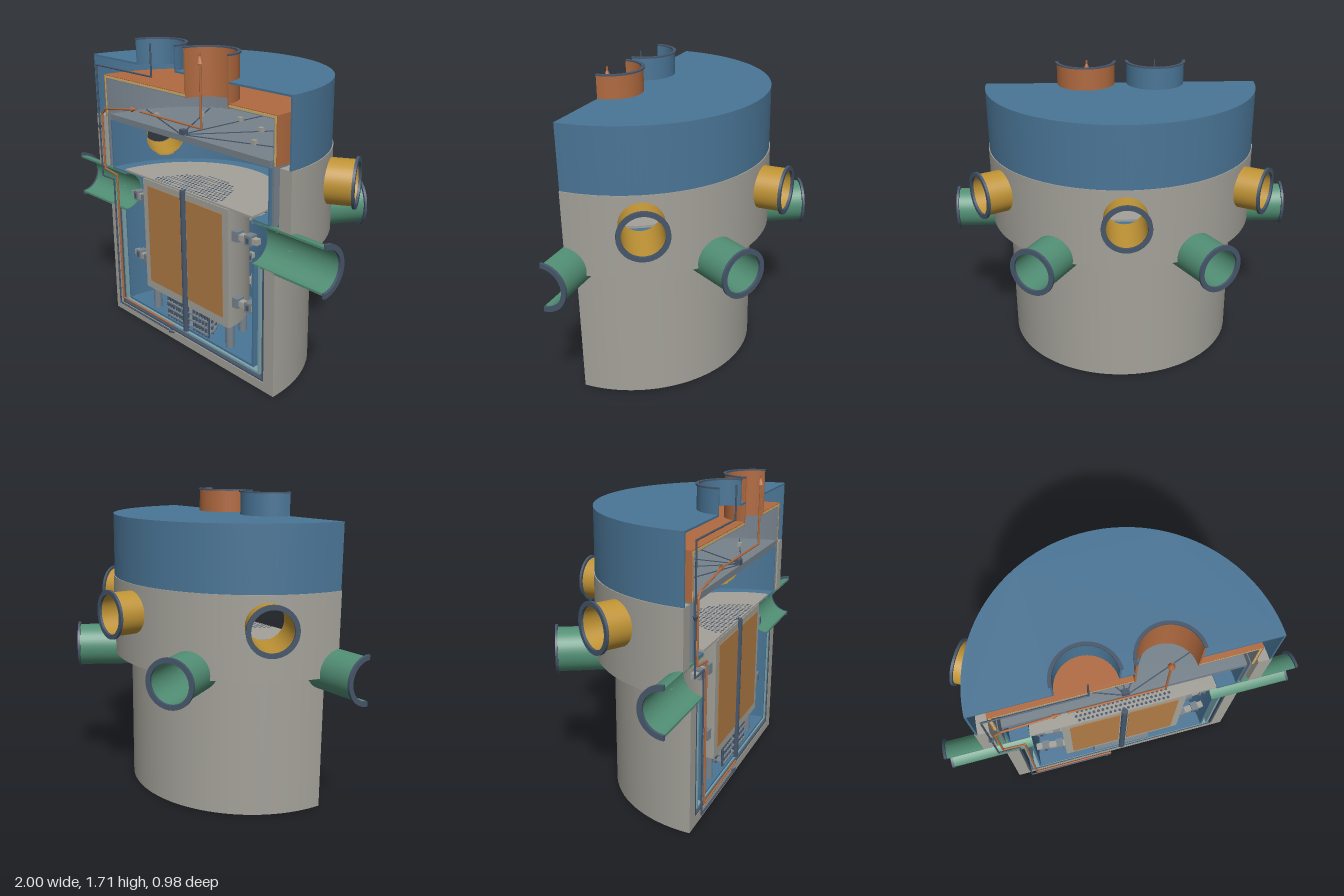
import * as THREE from 'three';
import { mergeGeometries } from 'three/addons/utils/BufferGeometryUtils.js';

const mat = (name, color) => new THREE.MeshStandardMaterial({ name, color, side: THREE.DoubleSide });
const V = (x, y, z) => new THREE.Vector3(x, y, z);
const rad = THREE.MathUtils.degToRad;

// Radial ports that pierce the walls: angle round the axis, height, hole radius
const GOLD_Y = 1.075, GREEN_Y = 0.805, HOLE = 0.112;
const PORTS = [
  ...[30, 90, 150].map(a => ({ a: rad(a), y: GOLD_Y })),
  ...[0, 60, 120, 180].map(a => ({ a: rad(a), y: GREEN_Y })),
];

export function createModel() {
  const M = {
    concrete: mat('concrete', 0xa3a199),
    blue: mat('vessel blue', 0x4a7596),
    steel: mat('steel grey', 0x77828c),
    dark: mat('dark steel', 0x46566a),
    orange: mat('hot orange', 0xb06a40),
    brown: mat('core brown', 0xb07c45),
    tan: mat('insulation tan', 0xd6b268),
    gold: mat('port gold', 0xbf9335),
    green: mat('pipe green', 0x528f75),
    teal: mat('liner teal', 0x7ba3ab),
  };
  const model = new THREE.Group();
  model.name = 'sectionedVessel';
  // Everything is built round the vessel axis; the cut plane is local z = 0
  const body = new THREE.Group();
  body.name = 'vesselHalf';
  body.position.z = 0.44;
  model.add(body);

  const add = (name, geo, material, parent = body) => {
    const m = new THREE.Mesh(geo, material);
    m.name = name;
    parent.add(m);
    return m;
  };

  // Half revolution of a right-angled closed profile (anticlockwise [r, y]), with port holes and cut faces
  const vessel = (name, p, material) => {
    const pos = [], nor = [];
    const quad = (c, n) => {
      const cross = V().subVectors(c[1], c[0]).cross(V().subVectors(c[2], c[0]));
      if (cross.lengthSq() < 1e-14) cross.subVectors(c[2], c[0]).cross(V().subVectors(c[3], c[0]));
      const order = cross.dot(n[0]) < 0 ? [0, 2, 1, 0, 3, 2] : [0, 1, 2, 0, 2, 3];
      for (const i of order) { pos.push(...c[i].toArray()); nor.push(...n[i].toArray()); }
    };
    const at = (r, t, y) => V(r * Math.cos(t), y, -r * Math.sin(t));
    p.forEach(([ra, ya], i) => {
      const [rb, yb] = p[(i + 1) % p.length];
      const R = (ra + rb) / 2;
      if (ra === rb && ra === 0) return;
      const ts = [];
      for (let k = 0; k <= 64; k++) ts.push(Math.PI * k / 64);
      if (R > HOLE) for (const h of PORTS) for (let k = 0; k <= 12; k++)
        ts.push(h.a + Math.asin(HOLE / R * Math.cos(Math.PI * k / 12)));
      const cols = ts.filter(t => t >= 0 && t <= Math.PI).sort((a, b) => a - b);
      // Height of the hole edge above its centre at angle t
      const half = (h, t) => Math.sqrt(Math.max(0, HOLE ** 2 - (R * Math.sin(t - h.a)) ** 2));
      for (let k = 0; k + 1 < cols.length; k++) {
        const t = cols[k], u = cols[k + 1], m = (t + u) / 2;
        if (u - t < 1e-6) continue;
        if (ra === rb) {
          const lo = Math.min(ya, yb), hi = Math.max(ya, yb), s = Math.sign(yb - ya);
          const cl = y => Math.min(hi, Math.max(lo, y));
          const strip = (a, b, c, d) => {
            if (b - a < 1e-6 && d - c < 1e-6) return;
            const n = at(s, t, 0), o = at(s, u, 0);
            quad([at(R, t, a), at(R, u, c), at(R, u, d), at(R, t, b)], [n, o, o, n]);
          };
          let from = [lo, lo];
          for (const h of PORTS.filter(h => half(h, m) > 0).sort((a, b) => a.y - b.y)) {
            strip(from[0], cl(h.y - half(h, t)), from[1], cl(h.y - half(h, u)));
            from = [cl(h.y + half(h, t)), cl(h.y + half(h, u))];
          }
          strip(from[0], hi, from[1], hi);
        } else {
          if (PORTS.some(h => Math.abs(ya - h.y) < half(h, m))) continue;
          const n = V(0, Math.sign(ra - rb), 0);
          quad([at(ra, t, ya), at(rb, t, ya), at(rb, u, ya), at(ra, u, ya)], [n, n, n, n]);
        }
      }
    });
    // Cut faces, slab by slab, left open where the halved pipes pass
    const ys = [...new Set([...p.map(q => q[1]), GREEN_Y - HOLE, GREEN_Y + HOLE])].sort((a, b) => a - b);
    for (let k = 0; k + 1 < ys.length; k++) {
      const y = ys[k], Y = ys[k + 1], m = (y + Y) / 2;
      const rs = p.filter((q, i) => (q[1] - m) * (p[(i + 1) % p.length][1] - m) < 0)
        .map(q => q[0]).sort((a, b) => a - b);
      for (let j = 0; j + 1 < rs.length; j += 2) {
        if (rs[j] > 0.4 && Math.abs(m - GREEN_Y) < HOLE) continue;
        const n = V(0, 0, 1);
        for (const s of [-1, 1])
          quad([V(s * rs[j], y, 0), V(s * rs[j + 1], y, 0), V(s * rs[j + 1], Y, 0), V(s * rs[j], Y, 0)], [n, n, n, n]);
      }
    }
    const g = new THREE.BufferGeometry();
    g.setAttribute('position', new THREE.Float32BufferAttribute(pos, 3));
    g.setAttribute('normal', new THREE.Float32BufferAttribute(nor, 3));
    add(name, g, material);
  };
  const shell = (name, r0, r1, y0, y1, m) => vessel(name, [[r0, y0], [r1, y0], [r1, y1], [r0, y1]], m);
  const cup = (name, r, y0, y1, t, m) =>
    vessel(name, [[0, y0], [r, y0], [r, y1], [r - t, y1], [r - t, y0 + t], [0, y0 + t]], m);

  // Half disc with half-round openings for the nozzles
  const plate = (name, R, y, h, m, openings = []) => {
    const s = new THREE.Shape();
    s.absarc(0, 0, R, 0, Math.PI, false);
    for (const x of openings) {
      s.lineTo(x - 0.16, 0);
      s.absarc(x, 0, 0.16, Math.PI, 0, true);
    }
    s.closePath();
    const g = new THREE.ExtrudeGeometry(s, { depth: h, bevelEnabled: false, curveSegments: 48 });
    add(name, g.rotateX(-Math.PI / 2).translate(0, y, 0), m);
  };

  // Concrete well, nested liners and inner tank
  vessel('concreteWell', [[0, 0], [0.685, 0], [0.685, 0.78], [0.785, 0.78], [0.785, 1.23], [0.71, 1.23],
    [0.71, 0.86], [0.615, 0.86], [0.615, 0.05], [0, 0.05]], M.concrete);
  cup('outerLiner', 0.612, 0.055, 0.92, 0.01, M.dark);
  cup('middleLiner', 0.585, 0.085, 0.92, 0.012, M.teal);
  shell('upperLiner', 0.662, 0.675, 0.93, 1.25, M.steel);
  vessel('innerTank', [[0, 0.11], [0.542, 0.11], [0.542, 0.922], [0.647, 0.922], [0.647, 1.215], [0.637, 1.215],
    [0.637, 0.932], [0.53, 0.932], [0.53, 0.122], [0, 0.122]], M.blue);

  // Outer cap and the insulated hot dome inside it
  shell('capWall', 0.77, 0.78, 1.23, 1.57, M.blue);
  plate('capLid', 0.78, 1.57, 0.01, M.blue, [-0.2, 0.2]);
  [['domeSkin', 0.69, 0.685, 1.47, M.orange], ['domeInsulation', 0.684, 0.672, 1.458, M.tan],
    ['domeLining', 0.671, 0.667, 1.454, M.steel]].forEach(([name, r, ri, y, m], i) => {
    shell(name + 'Wall', ri, r, 1.23, y, m);
    plate(name + 'Lid', r, y, [0.004, 0.011, 0.003][i], m, [0.2]);
  });

  // Tank cover with bolted blocks and radial seams
  plate('tankCover', 0.645, 1.216, 0.034, M.steel);
  for (const a of [20, 55, 90, 125, 160]) {
    const c = Math.cos(rad(a)), s = Math.sin(rad(a));
    add('coverBlock', new THREE.BoxGeometry(0.025, 0.025, 0.025).translate(0.42 * c, 1.262, -0.42 * s), M.concrete);
    add('coverSeam', new THREE.BoxGeometry(0.6, 0.004, 0.006).translate(0.32, 1.252, 0).rotateY(rad(a)), M.dark);
  }
  add('coverHub', new THREE.BoxGeometry(0.04, 0.03, 0.03).translate(0, 1.262, -0.015), M.dark);

  // Lathed tube and flange, whole or halved
  const tube = (parent, name, m, ri, ro, rf, y0, y1, half, ft = 0.014) => {
    const start = half ? Math.PI / 2 * half : 0, len = half ? Math.PI : Math.PI * 2;
    const make = (label, a, b, r, mm) => {
      const pts = [[ri, a], [r, a], [r, b], [ri, b], [ri, a]];
      const faces = pts.slice(1).map((q, i) => new THREE.LatheGeometry(
        [pts[i], q].map(v => new THREE.Vector2(...v)), half ? 24 : 40, start, len));
      if (half) for (const s of [-1, 1])
        faces.push(new THREE.PlaneGeometry(r - ri, b - a).translate(s * (r + ri) / 2, (a + b) / 2, 0));
      add(label, mergeGeometries(faces), mm, parent);
    };
    make(name, y0, y1 - ft, ro, m);
    make(name + 'Flange', y1 - ft, y1, rf, M.dark);
  };
  tube(body, 'coldNozzle', M.blue, 0.157, 0.167, 0.175, 1.57, 1.71, 1, 0.008);
  body.children.slice(-2).forEach(m => { m.position.x = -0.2; });
  tube(body, 'hotNozzle', M.orange, 0.157, 0.167, 0.175, 1.45, 1.71, 1, 0.008);
  body.children.slice(-2).forEach(m => { m.position.x = 0.2; });

  // Radial ports
  for (const h of PORTS) {
    const turn = new THREE.Group(), lay = new THREE.Group();
    turn.name = h.y === GOLD_Y ? 'goldPort' : 'greenPipe';
    turn.rotation.y = h.a;
    turn.position.y = h.y;
    lay.rotation.z = -Math.PI / 2;
    turn.add(lay);
    body.add(turn);
    const half = h.y === GREEN_Y ? (h.a === 0 ? 1 : h.a > 3 ? -1 : 0) : 0;
    if (h.y === GOLD_Y) tube(lay, 'goldTube', M.gold, 0.108, 0.118, 0.133, 0.635, 0.927, 0);
    else tube(lay, 'greenTube', M.green, 0.108, 0.12, 0.135, 0.53, 1, half);
  }

  // Core block with cut panels, top plate and perforations
  plate('coreCasing', 0.355, 0.26, 0.67, M.concrete);
  for (const s of [-1, 1])
    add('corePanel', new THREE.BoxGeometry(0.285, 0.585, 0.006).translate(s * 0.168, 0.603, 0.002), M.brown);
  plate('coreTopPlate', 0.525, 0.934, 0.01, M.concrete);
  add('controlRod', new THREE.CylinderGeometry(0.018, 0.018, 0.84, 12).translate(0, 0.525, 0), M.dark);
  const dots = [], rods = [];
  for (let j = 0; j < 11; j++) for (let i = -11; i <= 11; i++) {
    const x = (i + (j % 2) / 2) * 0.025, z = -0.015 - j * 0.024;
    if (Math.hypot(x, z) < 0.27)
      dots.push(new THREE.CircleGeometry(0.008, 8).rotateX(-Math.PI / 2).translate(x, 0.946, z));
    if (Math.hypot(x, z) < 0.185 && Math.abs(x) > 0.03 && j % 2 === 0)
      rods.push(new THREE.CylinderGeometry(0.008, 0.008, 0.14, 6).translate(x, 0.19, z));
  }
  add('plateHoles', mergeGeometries(dots), M.dark);
  add('lowerRods', mergeGeometries(rods), M.dark);
  for (const y of [0.14, 0.18, 0.22]) plate('rodSpacer', 0.178, y, 0.008, M.steel);
  for (const a of [8, 42, 75, 105, 138, 172])
    add('coreLeg', new THREE.CylinderGeometry(0.024, 0.024, 0.14, 16)
      .translate(0.32 * Math.cos(rad(a)), 0.19, -0.32 * Math.sin(rad(a))), M.steel);

  // Brackets holding the core in the tank
  for (const y of [0.79, 0.415]) for (const a of [6, 48, 90, 132, 174]) {
    const g = new THREE.Group();
    g.name = 'coreBracket';
    g.rotation.y = rad(a);
    g.position.y = y;
    add('bracketBar', new THREE.BoxGeometry(0.17, 0.03, 0.035).translate(0.44, 0, 0), M.concrete, g);
    for (const x of [0.385, 0.47])
      add('bracketClip', new THREE.BoxGeometry(0.04, 0.055, 0.05).translate(x, 0, 0), M.steel, g);
    add('bracketPin', new THREE.BoxGeometry(0.018, 0.03, 0.056).translate(0.47, 0, 0), M.dark, g);
    body.add(g);
  }

  // Flow paths in front of the cut, each ending in an arrowhead
  const flow = (name, pts, m, r, head) => {
    const up = V(0, 1, 0), parts = [];
    pts.forEach(([x, y], i) => {
      if (!i) return;
      const a = V(...pts[i - 1], 0.03), b = V(x, y, 0.03), d = V().subVectors(b, a), L = d.length();
      const q = new THREE.Quaternion().setFromUnitVectors(up, d.normalize());
      parts.push(new THREE.CylinderGeometry(r, r, L + r, 8).applyQuaternion(q).translate(...a.add(b).multiplyScalar(0.5)));
      if (i === pts.length - 1)
        parts.push(new THREE.ConeGeometry(head, head * 2.6, 12).translate(0, -head * 1.3, 0)
          .applyQuaternion(q).translate(b.x, b.y, b.z));
    });
    add(name, mergeGeometries(parts), m);
  };
  flow('coldInflow', [[-0.2, 1.7], [-0.2, 1.53], [-0.715, 1.53], [-0.715, 1.14]], M.dark, 0.005, 0.014);
  flow('coldDownflow', [[-0.715, 1.15], [-0.715, 0.87], [-0.6, 0.87], [-0.6, 0.07], [-0.08, 0.07]], M.dark, 0.005, 0.012);
  flow('warmUpflow', [[-0.08, 0.115], [-0.565, 0.115], [-0.565, 0.905], [-0.685, 0.92], [-0.685, 1.25],
    [-0.65, 1.285], [-0.35, 1.33]], M.orange, 0.006, 0.014);
  flow('hotOutflow', [[-0.31, 1.325], [0.195, 1.325], [0.195, 1.7]], M.orange, 0.006, 0.019);
  return model;
}
